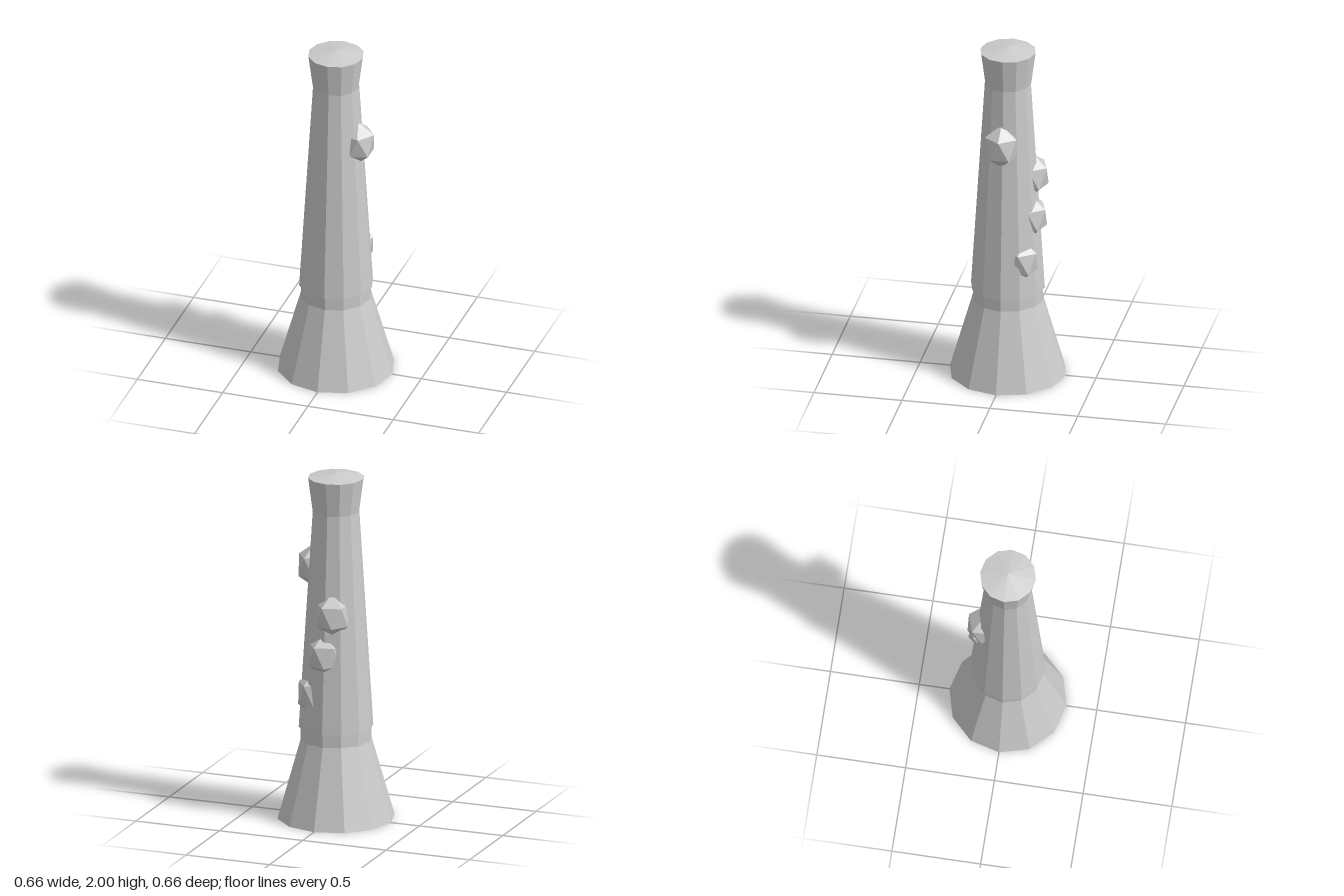
import * as THREE from 'three';
import { ConvexGeometry } from 'three/addons/geometries/ConvexGeometry.js';

const SIDES = 12;
const stone = new THREE.MeshStandardMaterial({ color: 0xcccccc, flatShading: true });
stone.name = 'palestone';

function add(group, name, geometry) {
  const mesh = new THREE.Mesh(geometry, stone);
  mesh.name = name;
  group.add(mesh);
  return mesh;
}

// Twelve-sided turned part; profile runs bottom to top
function turned(profile) {
  return new THREE.LatheGeometry(profile.map(([r, y]) => new THREE.Vector2(r, y)), SIDES);
}

// Upright twenty-faced knob, slightly taller than wide
function knobGeometry(ringRadius, halfHeight) {
  const points = [new THREE.Vector3(0, halfHeight, 0), new THREE.Vector3(0, -halfHeight, 0)];
  for (let i = 0; i < 10; i++) {
    const a = (i * Math.PI) / 5;
    const y = halfHeight * 0.447 * (i % 2 ? -1 : 1);
    points.push(new THREE.Vector3(ringRadius * Math.cos(a), y, ringRadius * Math.sin(a)));
  }
  return new ConvexGeometry(points);
}

export function createModel() {
  const group = new THREE.Group();
  group.name = 'tower';

  // Flared foot with a short straight neck
  add(group, 'base', turned([[0, 0], [0.33, 0], [0.2, 0.455], [0.2, 0.53], [0, 0.53]]));

  // Tapered shaft overhanging the neck, flared head and shallow cap
  add(group, 'shaft', turned([[0, 0.53], [0.21, 0.53], [0.131, 1.78], [0.157, 1.975], [0, 2]]));

  // Knobs winding around the shaft
  const knob = knobGeometry(0.094, 0.13);
  [
    [0.131, 1.445, 0.01],
    [-0.03, 1.21, -0.13],
    [0.016, 0.975, -0.131],
    [0.091, 0.735, -0.095],
  ].forEach((p, i) => add(group, `knob${i + 1}`, knob).position.set(...p));

  return group;
}
